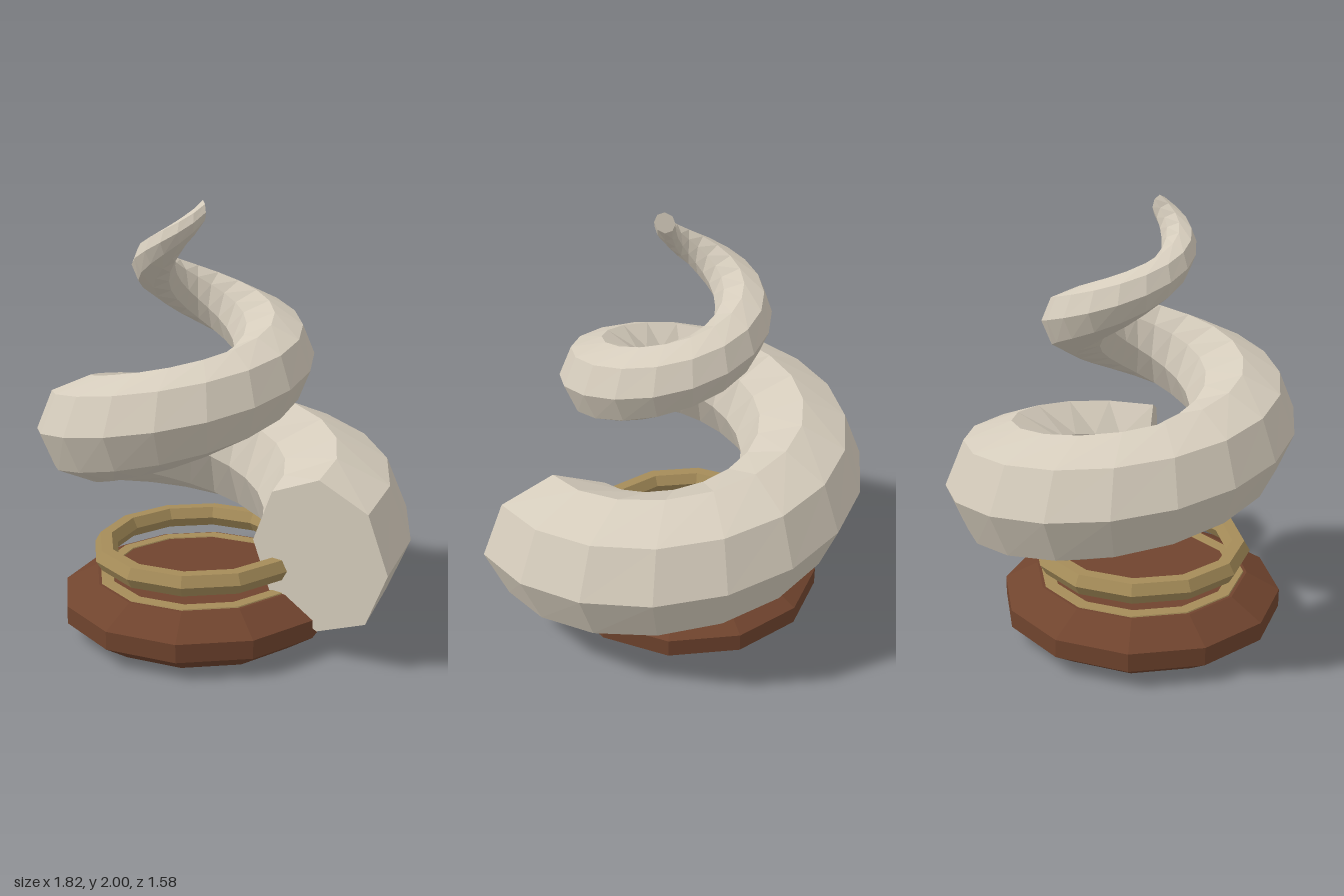
import * as THREE from 'three';

const CX = -0.116, CZ = 0.116; // axis shared by the base, rings and horn

const hornMat = new THREE.MeshStandardMaterial({ color: 0xd4cbbb });
hornMat.name = 'bone';
const woodMat = new THREE.MeshStandardMaterial({ color: 0x70442e });
woodMat.name = 'dark wood';
const brassMat = new THREE.MeshStandardMaterial({ color: 0xa58c59 });
brassMat.name = 'brass';

// Faceted mesh: unshared corners give one normal per face
function faceted(name, geometry, material) {
  const g = geometry.index ? geometry.toNonIndexed() : geometry;
  g.computeVertexNormals();
  const mesh = new THREE.Mesh(g, material);
  mesh.name = name;
  return mesh;
}

// Tapering octagonal tube wound upward, with flat end caps
function hornGeometry() {
  const steps = 35, sides = 8, sweep = 1.9 * Math.PI * 2;
  const positions = [], index = [];
  for (let i = 0; i <= steps; i++) {
    const t = i / steps, a = t * sweep;
    const R = THREE.MathUtils.lerp(0.67, 0.105, t);
    const r = THREE.MathUtils.lerp(0.354, 0.048, t);
    const y = THREE.MathUtils.lerp(0.482, 1.952, t);
    for (let j = 0; j < sides; j++) {
      const p = (j / sides) * Math.PI * 2;
      const d = R + r * Math.cos(p);
      positions.push(d * Math.cos(a), y + r * Math.sin(p), -d * Math.sin(a));
    }
  }
  for (let i = 0; i < steps; i++) {
    for (let j = 0; j < sides; j++) {
      const k = (j + 1) % sides;
      const a = i * sides + j, b = a + sides, c = (i + 1) * sides + k, d = i * sides + k;
      index.push(a, b, c, a, c, d);
    }
  }
  const last = steps * sides;
  for (let j = 1; j < sides - 1; j++) {
    index.push(0, j, j + 1);
    index.push(last, last + j + 1, last + j);
  }
  const g = new THREE.BufferGeometry();
  g.setAttribute('position', new THREE.Float32BufferAttribute(positions, 3));
  g.setIndex(index);
  return g;
}

export function createModel() {
  const model = new THREE.Group();
  model.name = 'spiralHornOnBase';

  // Twelve-sided bevelled base
  const profile = [[0, 0], [0.515, 0], [0.649, 0.09], [0.649, 0.175], [0.495, 0.258], [0, 0.258]]
    .map(([x, y]) => new THREE.Vector2(x, y));
  model.add(faceted('base', new THREE.LatheGeometry(profile, 12), woodMat));

  // Two brass rings: one set into the base, one above it
  [['lowerRing', 0.215], ['upperRing', 0.372]].forEach(([name, y]) => {
    const g = new THREE.TorusGeometry(0.451, 0.055, 6, 12).rotateX(Math.PI / 2).translate(0, y, 0);
    model.add(faceted(name, g, brassMat));
  });

  model.add(faceted('spiralHorn', hornGeometry(), hornMat));

  model.children.forEach((part) => part.position.set(CX, 0, CZ));
  return model;
}
